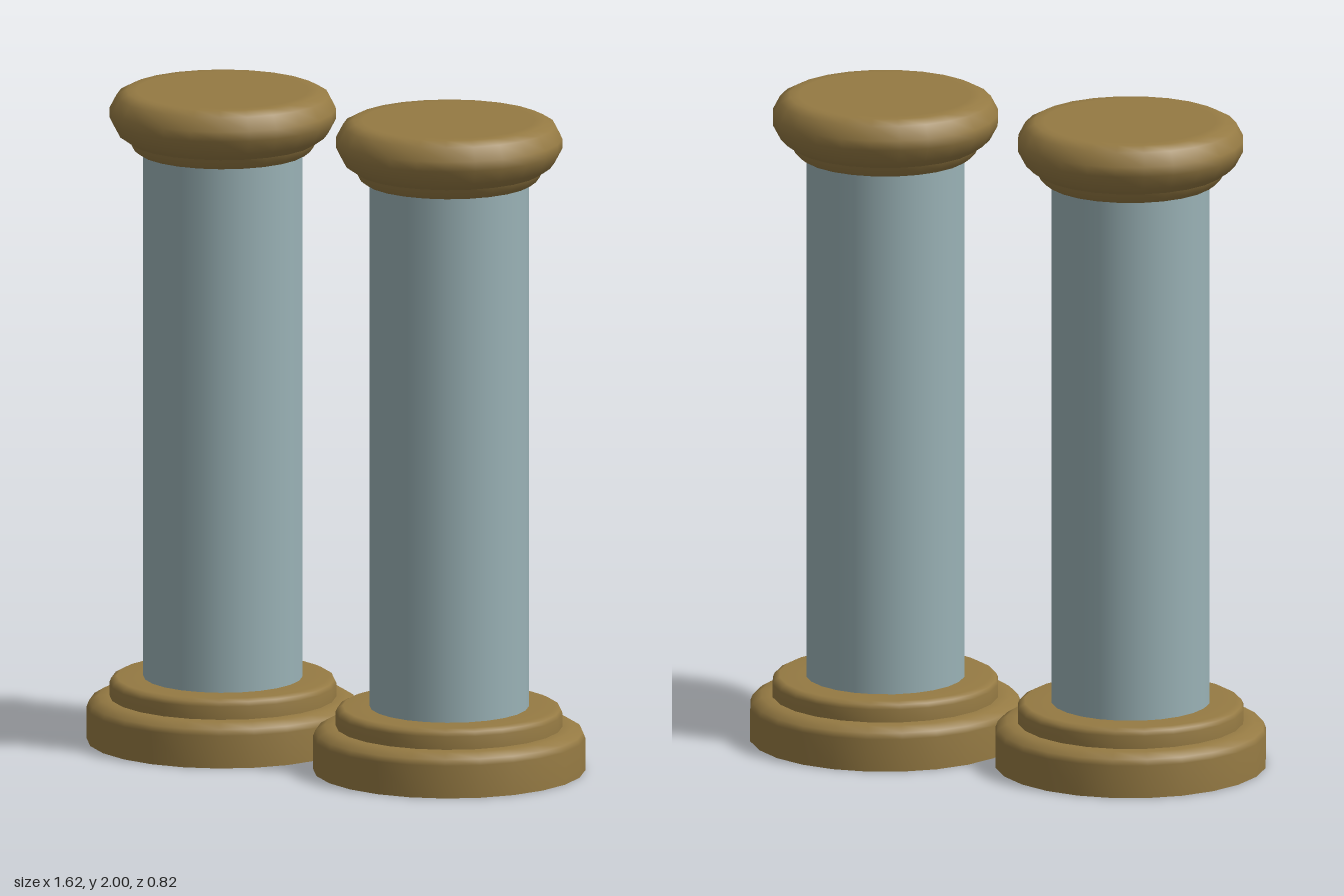
import * as THREE from 'three';

const SIDES = 24;

// Spin a bottom-to-top [radius, y] profile; a repeated point makes a sharp edge.
function turned(name, profile, material) {
  const points = profile.map(([r, y]) => new THREE.Vector2(r, y));
  const mesh = new THREE.Mesh(new THREE.LatheGeometry(points, SIDES), material);
  mesh.name = name;
  return mesh;
}

export function createModel() {
  const bronze = new THREE.MeshStandardMaterial({ color: 0x957a43 });
  bronze.name = 'bronze';
  const paleBlue = new THREE.MeshStandardMaterial({ color: 0x9ab2b6 });
  paleBlue.name = 'pale blue stone';

  // Stepped foot with two rounded tiers
  const baseProfile = [
    [0, 0], [0.41, 0], [0.41, 0],
    [0.41, 0.1], [0.403, 0.118], [0.375, 0.135], [0.342, 0.135], [0.342, 0.135],
    [0.342, 0.175], [0.336, 0.188], [0.32, 0.196], [0.23, 0.196], [0.23, 0.196],
    [0, 0.196],
  ];
  // Rounded cushion on a narrow neck
  const capitalProfile = [
    [0, 1.812], [0.255, 1.812], [0.255, 1.812],
    [0.272, 1.825], [0.283, 1.846], [0.283, 1.846],
    [0.317, 1.87], [0.341, 1.915], [0.341, 1.945], [0.32, 1.985],
    [0.29, 2], [0.26, 2], [0, 2],
  ];
  const shaftProfile = [[0.24, 0.19], [0.24, 1.82]];

  const model = new THREE.Group();
  model.name = 'twinColumns';
  for (const [name, x] of [['leftColumn', 0.4], ['rightColumn', -0.4]]) {
    const column = new THREE.Group();
    column.name = name;
    column.add(
      turned('base', baseProfile, bronze),
      turned('shaft', shaftProfile, paleBlue),
      turned('capital', capitalProfile, bronze),
    );
    column.position.x = x;
    model.add(column);
  }
  return model;
}
